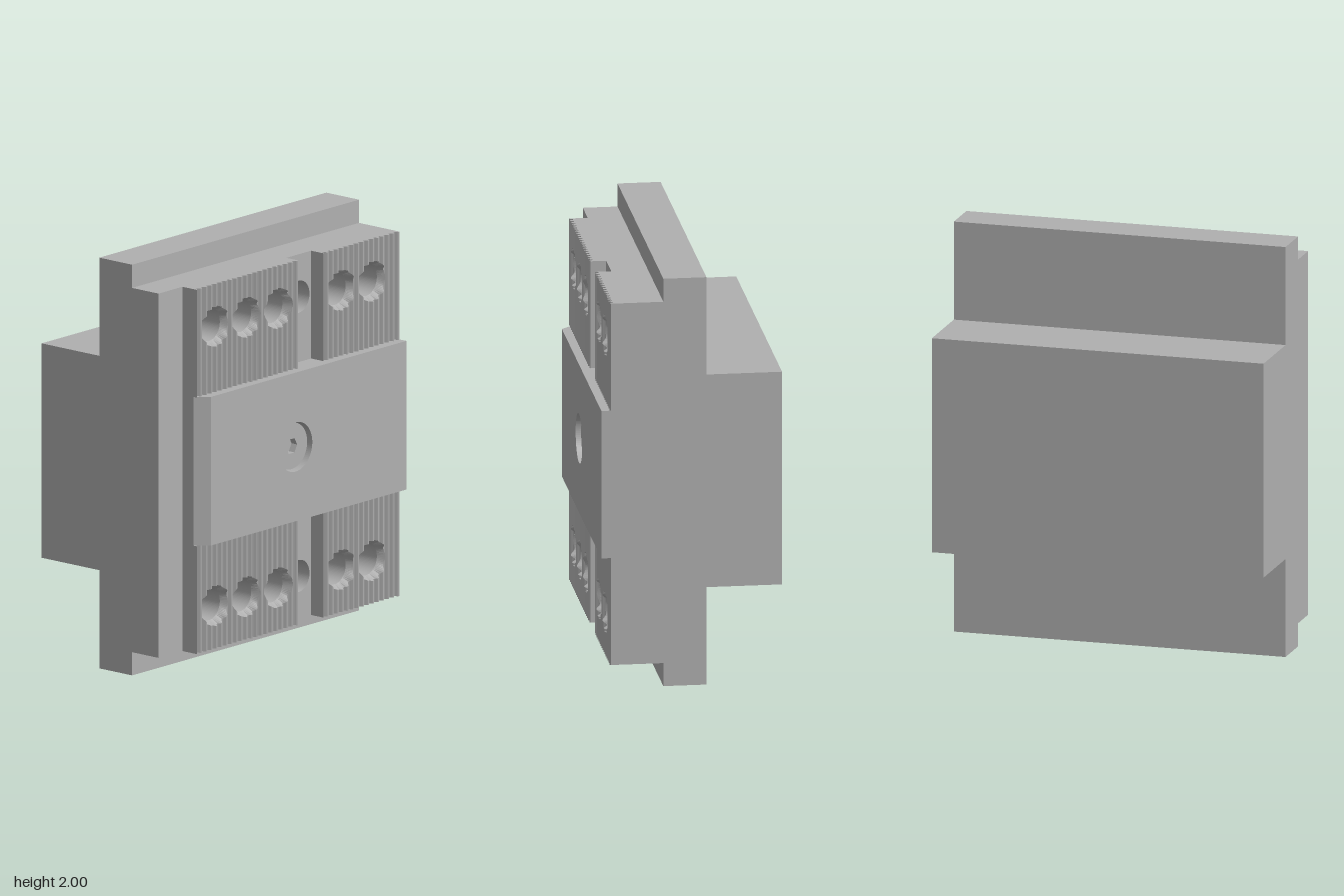
import * as THREE from 'three';

const W = 0.817;                       // half width
const BORE = 0.078, RIM = 0.097;       // terminal hole radii
const GROOVE_BASE = 0.34, PITCH = 0.0364;
const HOLE_X = [-0.5, -0.275, -0.05, 0.18, 0.405, 0.63];
const HOLE_Y = [0.32, 1.68];
const ROWS = [[0.113, 0.638], [1.362, 1.887]];
const BLOCKS = [[-0.645, 0.09], [0.27, W]];
const ALL_HOLES = HOLE_Y.flatMap(y => HOLE_X.map(x => [x, y]));

const ridge = x => 0.38 + 0.01 * Math.cos((2 * Math.PI * (x + 0.645)) / PITCH);

// Flat plate in x/y with round holes, running from z0 to z1
function plate(x0, x1, y0, y1, z0, z1, holes = [], r = BORE) {
  const s = new THREE.Shape();
  s.moveTo(x0, y0).lineTo(x1, y0).lineTo(x1, y1).lineTo(x0, y1).closePath();
  for (const [x, y] of holes) {
    if (x < x0 || x > x1 || y < y0 || y > y1) continue;
    s.holes.push(new THREE.Path().absarc(x, y, r, 0, Math.PI * 2, true));
  }
  return new THREE.ExtrudeGeometry(s, { depth: z1 - z0, bevelEnabled: false, curveSegments: 40 }).translate(0, 0, z0);
}

// Ribbed front of a terminal block, cut around countersunk holes
function ribbedFace(x0, x1, y0, y1) {
  const pos = [];
  const quad = (a, b, c, d) => pos.push(...a, ...b, ...c, ...a, ...c, ...d);
  const holes = ALL_HOLES.filter(([x, y]) => x > x0 && x < x1 && y > y0 && y < y1);
  const n = Math.round(((x1 - x0) / PITCH) * 8);
  const xs = Array.from({ length: n + 1 }, (_, i) => x0 + ((x1 - x0) * i) / n);
  for (const [x] of holes) xs.push(x - RIM, x + RIM);
  xs.sort((a, b) => a - b);

  for (let i = 0; i < xs.length - 1; i++) {
    const a = xs[i], b = xs[i + 1], za = ridge(a), zb = ridge(b), g = GROOVE_BASE;
    const strip = (la, lb, ha, hb) => quad([a, la, za], [b, lb, zb], [b, hb, zb], [a, ha, za]);
    const hole = holes.find(([x]) => Math.abs((a + b) / 2 - x) < RIM);
    if (hole) {
      const [cx, cy] = hole;
      const half = x => Math.sqrt(Math.max(0, RIM * RIM - (x - cx) ** 2));
      strip(y0, y0, cy - half(a), cy - half(b));
      strip(cy + half(a), cy + half(b), y1, y1);
    } else strip(y0, y0, y1, y1);
    // upper and lower ends
    quad([a, y1, g], [a, y1, za], [b, y1, zb], [b, y1, g]);
    quad([a, y0, g], [b, y0, g], [b, y0, zb], [a, y0, za]);
  }
  // side ends
  quad([x1, y0, GROOVE_BASE], [x1, y1, GROOVE_BASE], [x1, y1, ridge(x1)], [x1, y0, ridge(x1)]);
  quad([x0, y0, GROOVE_BASE], [x0, y0, ridge(x0)], [x0, y1, ridge(x0)], [x0, y1, GROOVE_BASE]);
  // countersinks
  const N = 80;
  for (const [cx, cy] of holes) {
    const pt = (i, r, top) => {
      const t = (i / N) * Math.PI * 2, x = cx + r * Math.cos(t);
      return [x, cy + r * Math.sin(t), top ? ridge(x) : GROOVE_BASE];
    };
    for (let i = 0; i < N; i++) quad(pt(i, RIM, true), pt(i + 1, RIM, true), pt(i + 1, BORE), pt(i, BORE));
  }
  const geo = new THREE.BufferGeometry();
  geo.setAttribute('position', new THREE.Float32BufferAttribute(pos, 3));
  geo.computeVertexNormals();
  return geo;
}

export function createModel() {
  const group = new THREE.Group();
  const grey = new THREE.MeshStandardMaterial({ color: 0xb0b0b0 });
  grey.name = 'housing grey';
  const add = (name, geo) => {
    const mesh = new THREE.Mesh(geo, grey);
    mesh.name = name;
    group.add(mesh);
  };

  // Housing, from back to front
  add('rearBlock', plate(-W, W, 0.478, 1.522, -0.43, -0.07));
  add('flangeBack', plate(-W, W, 0, 2, -0.07, 0));
  add('flangeFront', plate(-W, W, 0, 2, 0, 0.135, ALL_HOLES));
  add('body', plate(-W, W, 0.113, 1.887, 0.135, 0.3, ALL_HOLES));

  // Terminal rows with ribbed blocks and a plain channel
  for (const [y0, y1] of ROWS) {
    for (const [x0, x1] of BLOCKS) {
      add('terminalBlock', plate(x0, x1, y0, y1, 0.3, GROOVE_BASE, ALL_HOLES));
      add('terminalRibs', ribbedFace(x0, x1, y0, y1));
    }
    add('channelFloor', plate(0.09, 0.27, y0, y1, 0.3, 0.31, ALL_HOLES));
  }

  // Centre panel with bevelled edge
  const [p0, p1] = [ROWS[0][1], ROWS[1][0]];
  add('panelBase', plate(-0.645, W, p0, p1, 0.3, 0.37));
  add('panelFront', plate(-0.59, W, p0, p1, 0.37, 0.43, [[0.02, 1]], 0.12));
  const wedge = new THREE.Shape();
  wedge.moveTo(-0.645, -0.37).lineTo(-0.59, -0.43).lineTo(-0.59, -0.37).closePath();
  add('panelBevel', new THREE.ExtrudeGeometry(wedge, { depth: p1 - p0, bevelEnabled: false })
    .rotateX(-Math.PI / 2).translate(0, p0, 0));

  // Recessed hex socket screw
  const head = new THREE.Shape().absarc(0, 0, 0.112, 0, Math.PI * 2, false);
  const hex = Array.from({ length: 6 }, (_, i) => {
    const t = (-i * Math.PI) / 3;
    return new THREE.Vector2(0.04 * Math.cos(t), 0.04 * Math.sin(t));
  });
  head.holes.push(new THREE.Path(hex));
  add('screwHead', new THREE.ExtrudeGeometry(head, { depth: 0.035, bevelEnabled: false, curveSegments: 40 })
    .translate(0.02, 1, 0.37));

  return group;
}
